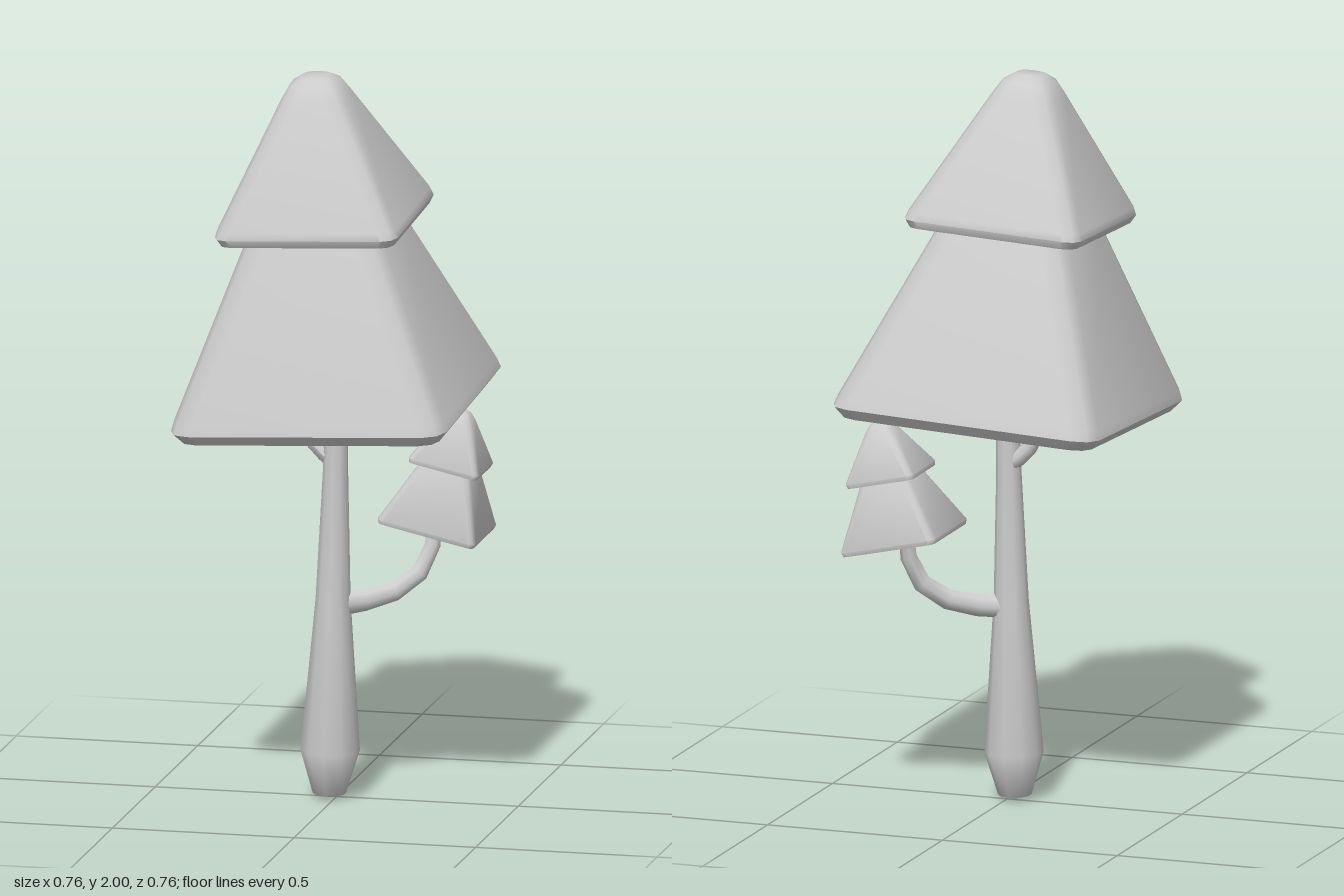
import * as THREE from 'three';
import { toCreasedNormals } from 'three/addons/utils/BufferGeometryUtils.js';

const material = new THREE.MeshStandardMaterial({ color: 0xcccccc });

function addMesh(parent, geometry, name) {
  const mesh = new THREE.Mesh(geometry, material);
  mesh.name = name;
  parent.add(mesh);
  return mesh;
}

// Foliage tier: rounded-square loops [y, half width, corner radius], closed at both ends
function tierGeometry(sections) {
  const positions = [], index = [], perCorner = 3, n = 4 * perCorner;
  for (const [y, half, r] of sections) {
    for (let c = 0; c < 4; c++) {
      const mid = (c + 0.5) * Math.PI / 2;
      const cx = Math.sign(Math.cos(mid)) * (half - r);
      const cz = Math.sign(Math.sin(mid)) * (half - r);
      for (let k = 0; k < perCorner; k++) {
        const a = (c + k / (perCorner - 1)) * Math.PI / 2;
        positions.push(cx + r * Math.cos(a), y, cz + r * Math.sin(a));
      }
    }
  }
  for (let s = 0; s < sections.length - 1; s++) {
    for (let i = 0; i < n; i++) {
      const a = s * n + i, b = s * n + (i + 1) % n;
      index.push(a, a + n, b, b, a + n, b + n);
    }
  }
  const last = sections.length - 1, bottom = positions.length / 3, top = bottom + 1;
  positions.push(0, sections[0][0], 0, 0, sections[last][0], 0);
  for (let i = 0; i < n; i++) {
    const j = (i + 1) % n;
    index.push(bottom, i, j, top, last * n + j, last * n + i);
  }
  const geometry = new THREE.BufferGeometry();
  geometry.setAttribute('position', new THREE.Float32BufferAttribute(positions, 3));
  geometry.setIndex(index);
  return toCreasedNormals(geometry, 0.87);
}

// Tapered branch along a curve
function branchGeometry(points, startRadius, endRadius) {
  const segments = 5, sides = 8;
  const curve = new THREE.CatmullRomCurve3(points.map(p => new THREE.Vector3(...p)));
  const geometry = new THREE.TubeGeometry(curve, segments, startRadius, sides);
  const pos = geometry.attributes.position, v = new THREE.Vector3();
  for (let i = 0; i < pos.count; i++) {
    const t = Math.floor(i / (sides + 1)) / segments;
    const centre = curve.getPointAt(t);
    v.fromBufferAttribute(pos, i).sub(centre);
    v.multiplyScalar(THREE.MathUtils.lerp(1, endRadius / startRadius, t)).add(centre);
    pos.setXYZ(i, v.x, v.y, v.z);
  }
  geometry.computeVertexNormals();
  return geometry;
}

export function createModel() {
  const model = new THREE.Group();
  model.name = 'tree';

  // Trunk with a swollen foot, leaning slightly
  const profile = [[0, 0], [0.045, 0.012], [0.08, 0.13], [0.047, 0.55], [0.034, 0.9], [0.03, 1.15]];
  const trunk = addMesh(model,
    new THREE.LatheGeometry(profile.map(p => new THREE.Vector2(...p)), 10), 'trunk');
  trunk.position.set(-0.018, 0, 0.01);
  trunk.rotation.z = -0.019;

  // Large crown, tilted toward the front right
  const crown = new THREE.Group();
  crown.name = 'crown';
  crown.position.set(0, 1.065, 0);
  crown.rotation.set(0.055, 0, 0.05);
  model.add(crown);
  addMesh(crown, tierGeometry([
    [0, 0.355, 0.05], [0.03, 0.38, 0.06], [0.055, 0.373, 0.06],
    [0.54, 0.175, 0.06], [0.62, 0.14, 0.06]]), 'crownLowerTier');
  addMesh(crown, tierGeometry([
    [0.518, 0.24, 0.035], [0.54, 0.252, 0.04], [0.56, 0.246, 0.04],
    [0.875, 0.089, 0.045], [0.915, 0.066, 0.04], [0.933, 0.038, 0.025]]), 'crownUpperTier');

  // Side branch carrying the small crown
  addMesh(model, branchGeometry([
    [0, 0.53, 0.01], [0.06, 0.535, -0.03], [0.14, 0.555, -0.075],
    [0.205, 0.605, -0.11], [0.235, 0.68, -0.13], [0.238, 0.76, -0.14]], 0.033, 0.02), 'sideBranch');

  // Small crown, tilted toward the left
  const smallCrown = new THREE.Group();
  smallCrown.name = 'smallCrown';
  smallCrown.position.set(0.24, 0.726, -0.143);
  smallCrown.rotation.z = -0.22;
  model.add(smallCrown);
  addMesh(smallCrown, tierGeometry([
    [0, 0.134, 0.015], [0.012, 0.138, 0.018], [0.165, 0.075, 0.02], [0.21, 0.06, 0.02]]),
    'smallCrownLowerTier');
  addMesh(smallCrown, tierGeometry([
    [0.176, 0.096, 0.014], [0.188, 0.099, 0.016], [0.305, 0.04, 0.02],
    [0.325, 0.026, 0.016], [0.331, 0.014, 0.01]]), 'smallCrownUpperTier');

  // Short upper branch running up into the crown
  addMesh(model, branchGeometry([
    [0, 0.92, 0.005], [-0.045, 0.955, 0.005], [-0.08, 1.0, 0.005], [-0.09, 1.09, 0.005]],
    0.024, 0.016), 'upperBranch');

  return model;
}
